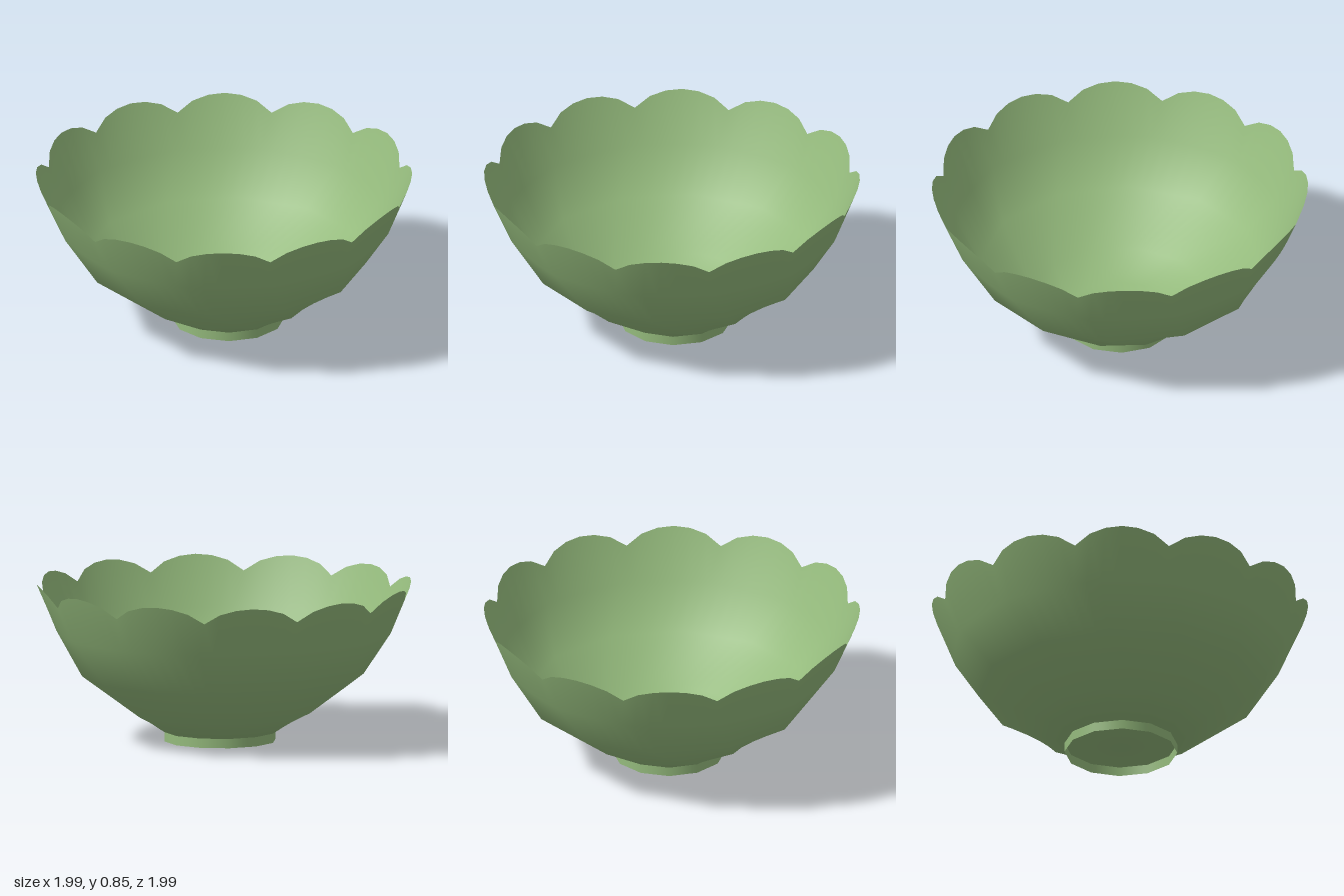
import * as THREE from 'three';

const PETALS = 12, STEPS = 6, COLS = PETALS * STEPS;
const SECTOR = (Math.PI * 2) / PETALS;
const rad = THREE.MathUtils.degToRad;

// Rings: r radius, y height, twist in degrees, round 0 = straight sides, 1 = arc,
// cx/cz centre offset, lift/flare = scallop height and outward lean
function ringSurface(rings) {
  const pos = [], nor = [], index = [];
  rings.forEach((k, i) => {
    const a0 = rings[Math.max(i - 1, 0)], a1 = rings[Math.min(i + 1, rings.length - 1)];
    const dr = a1.r - a0.r, dy = a1.y - a0.y, len = Math.hypot(dr, dy);
    for (let j = 0; j <= COLS; j++) {
      const s = (j % STEPS) / STEPS;
      const angle = rad(6 + k.twist) + (j / STEPS) * SECTOR;
      const start = rad(6 + k.twist) + Math.floor(j / STEPS) * SECTOR;
      const bump = Math.pow(Math.sin(Math.PI * s), 0.7);
      const r = k.r + (k.flare || 0) * bump;
      // blend between the straight side of the polygon and the full arc
      const mix = (f) => THREE.MathUtils.lerp(
        k.r * THREE.MathUtils.lerp(f(start), f(start + SECTOR), s), r * f(angle), k.round || 0);
      pos.push(mix(Math.cos) + (k.cx || 0), k.y + (k.lift || 0) * bump, mix(Math.sin) + (k.cz || 0));
      nor.push((Math.cos(angle) * dy) / len, -dr / len, (Math.sin(angle) * dy) / len);
    }
  });
  const w = COLS + 1;
  for (let i = 0; i < rings.length - 1; i++) {
    for (let j = 0; j < COLS; j++) {
      const a = i * w + j, b = a + w;
      index.push(a + 1, a, b, a + 1, b, b + 1);
    }
  }
  const g = new THREE.BufferGeometry();
  g.setAttribute('position', new THREE.Float32BufferAttribute(pos, 3));
  g.setAttribute('normal', new THREE.Float32BufferAttribute(nor, 3));
  g.setIndex(index);
  return g;
}

export function createModel() {
  const group = new THREE.Group();
  group.name = 'scallopedBowl';
  const green = new THREE.MeshStandardMaterial({ color: 0x94ba7c, side: THREE.DoubleSide });
  green.name = 'leafGreen';

  const base = { r: 0.3, y: 0.05, twist: -46, cx: 0.02, cz: 0.013 };

  // Bowl wall with dished floor, twisted panels and petal rim
  const bowl = new THREE.Mesh(ringSurface([
    { r: 0.001, y: 0.02, twist: -46, cx: 0.02, cz: 0.013 },
    base,
    { r: 0.475, y: 0.15, twist: -31, cx: 0.015, cz: 0.01 },
    { r: 0.75, y: 0.35, twist: -10, cx: 0.012 },
    { r: 0.89, y: 0.58, twist: -3, round: 0.5, cx: 0.005 },
    { r: 0.965, y: 0.765, twist: 0, round: 1, lift: 0.085, flare: 0.035 },
  ]), green);
  bowl.name = 'bowl';

  // Short open foot ring
  const foot = new THREE.Mesh(ringSurface([{ ...base, y: 0 }, base]), green);
  foot.name = 'footRing';

  group.add(bowl, foot);
  return group;
}
